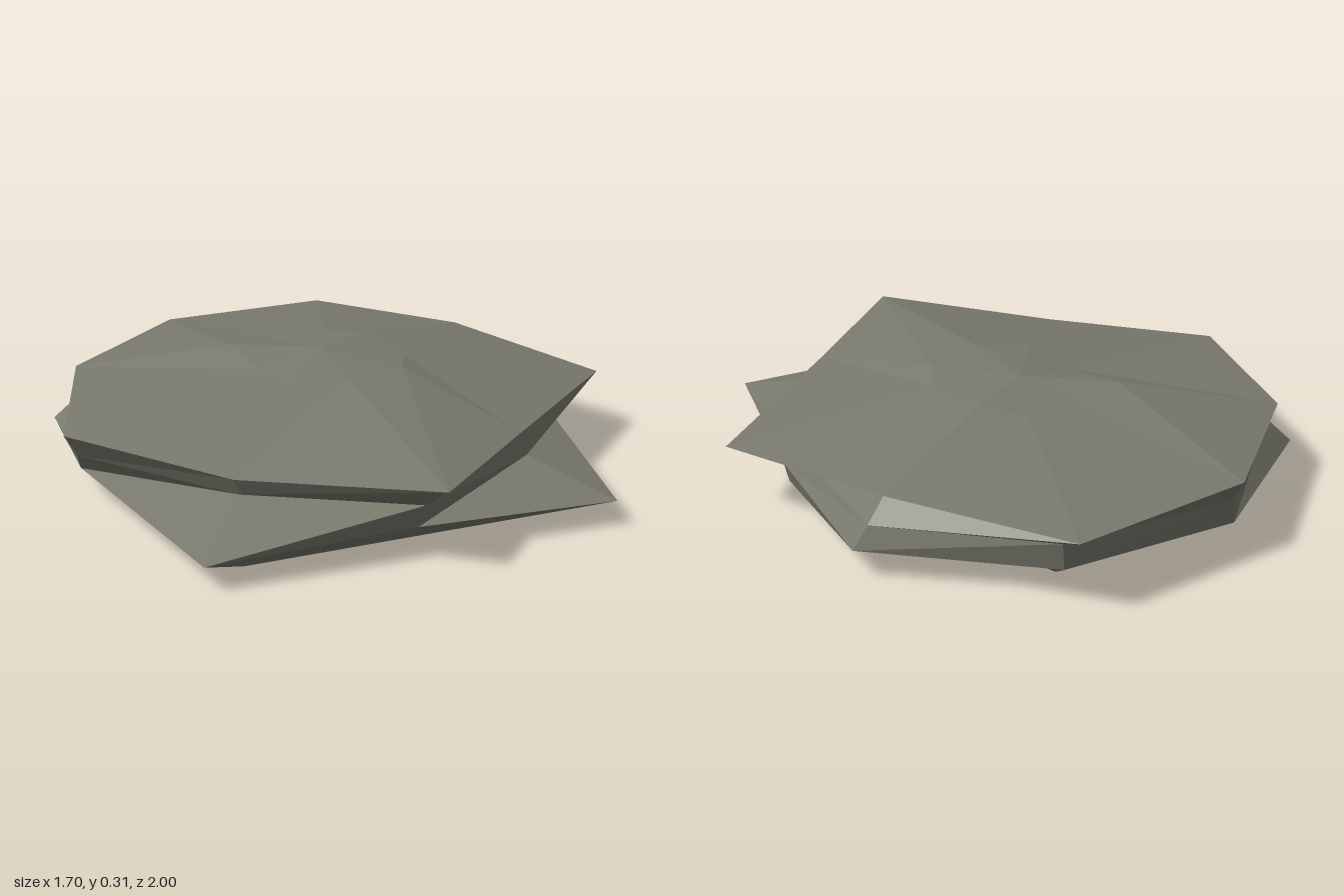
import * as THREE from 'three';

// Each layer: nine [x, y, z] corners running from +x round by +z
const LAYERS = [
  // foot
  [[.63, 0, .14], [.35, 0, .56], [.08, 0, .7], [-.49, 0, .77], [-.67, 0, .04], [-.5, 0, -.44], [-.25, 0, -.6], [.19, 0, -.735], [.38, 0, -.3]],
  // lower bulge
  [[.66, .08, .1], [.55, .07, .8], [-.04, .08, .84], [-.63, .07, .91], [-.79, .08, .12], [-.78, .075, -.38], [-.32, .07, -.8], [.23, .07, -.86], [.69, .08, -.54]],
  // waist
  [[.64, .14, .06], [.385, .14, .56], [-.03, .15, .87], [-.46, .14, .62], [-.81, .14, .18], [-.69, .15, -.38], [-.3, .15, -.82], [.24, .15, -.87], [.65, .15, -.55]],
  // overhanging rim
  [[.85, .19, .03], [.36, .21, .57], [-.02, .23, 1], [-.48, .19, .64], [-.85, .21, .21], [-.7, .22, -.42], [-.3, .22, -.87], [.26, .21, -1], [.6, .22, -.54]],
  // crown
  [[.23, .285, -.01], [.17, .295, .13], [-.02, .3, .2], [-.18, .29, .17], [-.22, .275, -.03], [-.26, .3, -.24], [-.1, .28, -.31], [.08, .285, -.34], [.18, .3, -.24]],
];

// Faceted shell rising ring by ring to the apex, open underneath
function shellGeometry(layers, apex) {
  const n = layers[0].length;
  const points = [...layers.flat(), apex];
  const apexIndex = points.length - 1;
  const top = (layers.length - 1) * n;
  const index = [];
  for (let i = 0; i < n; i++) {
    const j = (i + 1) % n;
    for (let lo = 0; lo < top; lo += n) {
      const hi = lo + n;
      index.push(lo + i, hi + i, lo + j, hi + i, hi + j, lo + j);
    }
    index.push(apexIndex, top + j, top + i);
  }
  const g = new THREE.BufferGeometry();
  g.setAttribute('position', new THREE.Float32BufferAttribute(points.flat(), 3));
  g.setIndex(index);
  const faceted = g.toNonIndexed();
  faceted.computeVertexNormals();
  return faceted;
}

export function createModel() {
  const group = new THREE.Group();
  group.name = 'flatRock';
  const stone = new THREE.MeshStandardMaterial({ color: 0x79796e, flatShading: true, side: THREE.DoubleSide });
  stone.name = 'grey stone';

  const slab = new THREE.Mesh(shellGeometry(LAYERS, [-.01, .31, -.1]), stone);
  slab.name = 'rockSlab';
  group.add(slab);
  return group;
}
